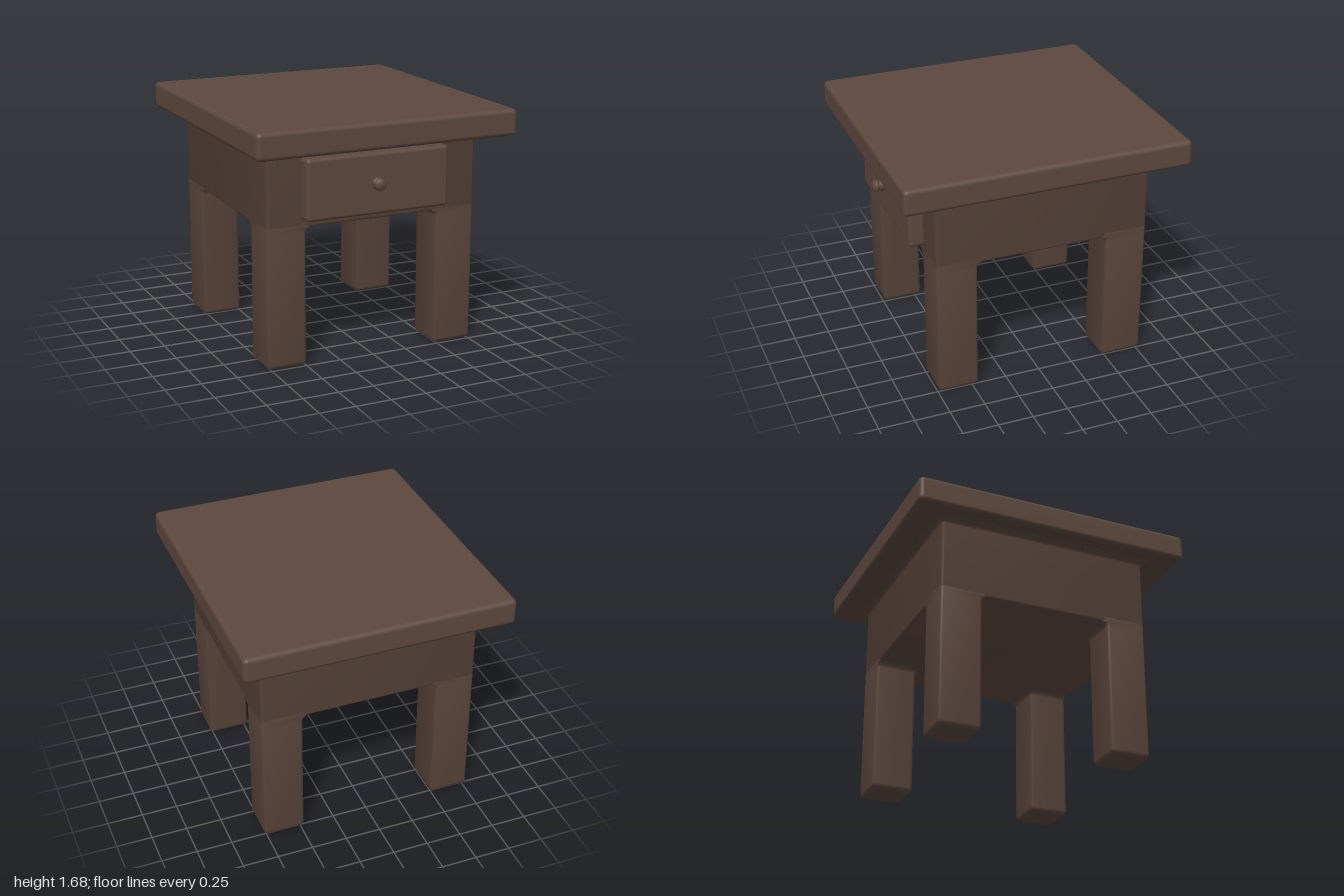
import * as THREE from 'three';
import { toCreasedNormals } from 'three/addons/utils/BufferGeometryUtils.js';
import { RoundedBoxGeometry } from 'three/addons/geometries/RoundedBoxGeometry.js';

// Solid lofted upward through rounded rectangles: [y, x0, x1, z0, z1]
function loft(sections, r = 0.02, steps = 3) {
  const pos = [], idx = [], n = 4 * (steps + 1);
  for (const [y, x0, x1, z0, z1] of sections) {
    const corners = [[x1 - r, z0 + r], [x0 + r, z0 + r], [x0 + r, z1 - r], [x1 - r, z1 - r]];
    corners.forEach(([cx, cz], k) => {
      for (let i = 0; i <= steps; i++) {
        const a = (k + i / steps) * Math.PI / 2;
        pos.push(cx + r * Math.cos(a), y, cz - r * Math.sin(a));
      }
    });
  }
  const last = sections.length - 1;
  for (let s = 0; s < last; s++) {
    for (let i = 0; i < n; i++) {
      const a = s * n + i, b = s * n + (i + 1) % n;
      idx.push(a, b, b + n, a, b + n, a + n);
    }
  }
  for (let i = 1; i < n - 1; i++) {
    idx.push(0, i + 1, i);
    idx.push(last * n, last * n + i, last * n + i + 1);
  }
  const g = new THREE.BufferGeometry();
  g.setAttribute('position', new THREE.Float32BufferAttribute(pos, 3));
  g.setIndex(idx);
  return toCreasedNormals(g, 0.7);
}

export function createModel() {
  const group = new THREE.Group();
  const wood = new THREE.MeshStandardMaterial({ color: 0x5d483e });
  wood.name = 'dark brown wood';

  const add = (name, geometry, x = 0, y = 0, z = 0) => {
    const mesh = new THREE.Mesh(geometry, wood);
    mesh.name = name;
    mesh.position.set(x, y, z);
    group.add(mesh);
    return mesh;
  };

  // Overhanging slab
  add('tableTop', new RoundedBoxGeometry(1.88, 0.185, 2, 4, 0.032), 0, 1.588, 0);

  // Solid body, softened below and flared under the slab
  const X0 = -0.775, X1 = 0.765, Z0 = -0.775, Z1 = 0.742;
  const bodySections = [
    [0.965, -0.015], [0.971, -0.005], [0.982, 0],
    [1.46, 0], [1.475, 0.006], [1.487, 0.018], [1.495, 0.04], [1.51, 0.04],
  ].map(([y, o]) => [y, X0 - o, X1 + o, Z0 - o, Z1 + o]);
  add('body', loft(bodySections));

  // Legs: rounded feet, inner sides flaring into the body
  const legProfile = [
    // y, outer offset, inner offset
    [0, -0.03, -0.03], [0.004, -0.017, -0.017], [0.014, -0.006, -0.006], [0.032, 0, 0],
    [0.925, 0, 0], [0.945, 0, 0.006], [0.957, 0, 0.016], [0.966, 0, 0.035], [1.0, 0, 0.035],
  ];
  for (const left of [true, false]) {
    for (const front of [true, false]) {
      const sections = legProfile.map(([y, o, i]) => [
        y,
        left ? 0.475 - i : X0 - o, left ? X1 + o : -0.495 + i,
        front ? 0.455 - i : Z0 - o, front ? Z1 + o : -0.478 + i,
      ]);
      add(`${front ? 'front' : 'back'}${left ? 'Left' : 'Right'}Leg`, loft(sections));
    }
  }

  // Drawer front
  add('drawerFront', new RoundedBoxGeometry(1.04, 0.42, 0.14, 4, 0.025), -0.012, 1.232, 0.77);

  // Round knob with a groove around its middle
  const knobProfile = [
    [0, 0], [0.024, 0.001], [0.037, 0.008], [0.043, 0.02], [0.04, 0.032], [0.03, 0.041],
    [0.03, 0.045], [0.04, 0.052], [0.043, 0.062], [0.038, 0.075], [0.024, 0.085], [0, 0.089],
  ].map(([r, h]) => new THREE.Vector2(r, h));
  add('drawerKnob', new THREE.LatheGeometry(knobProfile, 24), -0.032, 1.24, 0.837).rotation.x = Math.PI / 2;

  return group;
}
